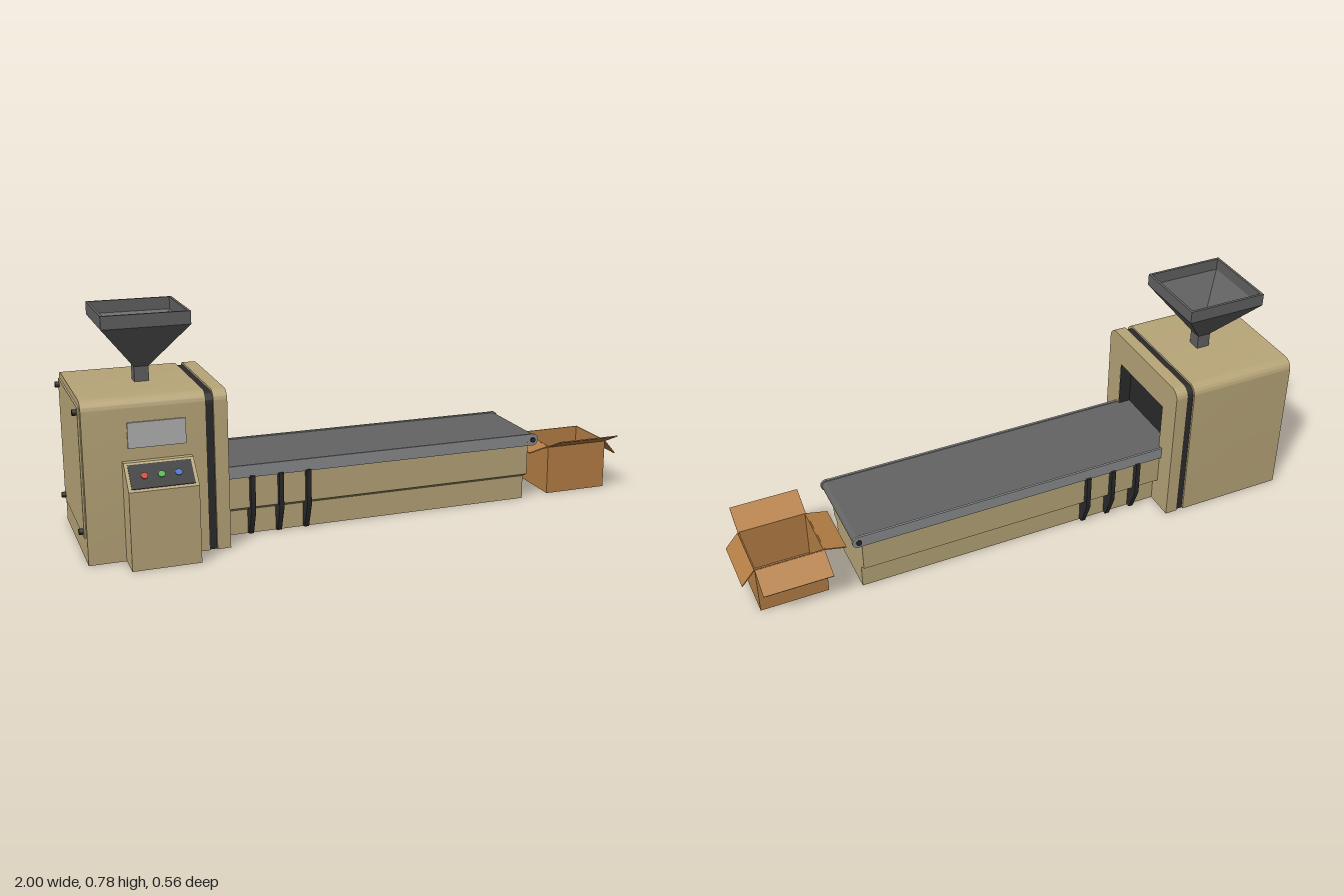
import * as THREE from 'three';
import { toCreasedNormals } from 'three/addons/utils/BufferGeometryUtils.js';

const mat = (color, extra = {}) => new THREE.MeshStandardMaterial({ color, ...extra });
const tan = mat(0xb8a679), dark = mat(0x2b2b2b), belt = mat(0x646464), steel = mat(0x8a8c8f);
const hopperGrey = mat(0x626262, { flatShading: true, side: THREE.DoubleSide });
const card = mat(0xb67f45, { side: THREE.DoubleSide });
const ZC = -0.05; // centre line of hopper, conveyor and carton

function add(parent, name, geometry, material, x = 0, y = 0, z = 0) {
  const mesh = new THREE.Mesh(geometry, material);
  mesh.name = name;
  mesh.position.set(x, y, z);
  parent.add(mesh);
  return mesh;
}

// Box from its minimum and maximum corners
function block(parent, name, material, [x0, y0, z0], [x1, y1, z1]) {
  return add(parent, name, new THREE.BoxGeometry(x1 - x0, y1 - y0, z1 - z0), material,
    (x0 + x1) / 2, (y0 + y1) / 2, (z0 + z1) / 2);
}

// Extrudes a shape drawn in (-z, y) along x
function alongX(shape, x0, x1) {
  const g = new THREE.ExtrudeGeometry(shape, { depth: x1 - x0, bevelEnabled: false, curveSegments: 8 });
  return toCreasedNormals(g.rotateY(Math.PI / 2).translate(x0, 0, 0), 0.5);
}
const profile = (points) => new THREE.Shape(points.map(([z, y]) => new THREE.Vector2(-z, y)));

// Housing outline with rounded top corners
function archShape(inset) {
  const a = -0.185 + inset, b = 0.28 - inset, h = 0.532 - inset, r = 0.036;
  const s = new THREE.Shape();
  s.moveTo(a, 0).lineTo(b, 0).lineTo(b, h - r);
  s.absarc(b - r, h - r, r, 0, Math.PI / 2, false);
  s.lineTo(a + r, h);
  s.absarc(a + r, h - r, r, Math.PI / 2, Math.PI, false);
  return s;
}

function makeHousing() {
  const g = new THREE.Group();
  g.name = 'housing';
  add(g, 'mainHousing', alongX(archShape(0), -0.98, -0.588), tan);
  add(g, 'housingSeam', alongX(archShape(0.007), -0.588, -0.563), dark);
  const front = archShape(0);
  front.holes.push(profile([[0.1, 0.2], [0.1, 0.42], [-0.196, 0.42], [-0.196, 0.2]]));
  add(g, 'outletHousing', alongX(front, -0.563, -0.518), tan);
  // Dark lining of the outlet
  for (const z of [0.1, -0.196]) block(g, 'outletLining', dark, [-0.563, 0.2, z - 0.002], [-0.519, 0.42, z + 0.002]);
  block(g, 'outletLining', dark, [-0.563, 0.418, -0.196], [-0.519, 0.421, 0.1]);

  // Service panel on the end, with corner bolts
  block(g, 'servicePanel', tan, [-0.986, 0.085, -0.257], [-0.98, 0.51, 0.162]);
  for (const y of [0.103, 0.492]) for (const z of [-0.24, 0.145]) {
    add(g, 'panelBolt', new THREE.CylinderGeometry(0.01, 0.01, 0.018, 16).rotateZ(Math.PI / 2), dark, -0.991, y, z);
  }
  block(g, 'displayScreen', mat(0xb4b4b4), [-0.84, 0.372, 0.184], [-0.655, 0.455, 0.191]);
  return g;
}

function makeConsole() {
  const g = new THREE.Group();
  g.name = 'controlConsole';
  const side = profile([[0.185, 0], [0.281, 0], [0.281, 0.258], [0.206, 0.331], [0.185, 0.331]]);
  add(g, 'consoleBody', alongX(side, -0.86, -0.638), tan);
  // Sloping button panel
  const panel = new THREE.Group();
  panel.name = 'buttonPanel';
  panel.position.set(-0.749, 0.2945, 0.2435);
  panel.rotation.x = -Math.atan2(0.075, 0.073);
  add(panel, 'panelPlate', new THREE.BoxGeometry(0.2, 0.086, 0.006), dark);
  [0xd03a2a, 0x4cb84a, 0x3a70d0].forEach((color, i) => {
    add(panel, 'button', new THREE.CylinderGeometry(0.011, 0.011, 0.006, 20).rotateX(Math.PI / 2),
      mat(color), (i - 1) * 0.054, 0, 0.004);
  });
  g.add(panel);
  return g;
}

function makeHopper() {
  const g = new THREE.Group();
  g.name = 'hopper';
  const points = [
    [0.024, 0.525], [0.024, 0.582], [0.143, 0.733], [0.143, 0.776],
    [0.134, 0.776], [0.134, 0.735], [0.018, 0.588], [0.018, 0.55], [0, 0.55],
  ].map(([r, y]) => new THREE.Vector2(r * Math.SQRT2, y));
  add(g, 'hopperFunnel', new THREE.LatheGeometry(points, 4, Math.PI / 4), hopperGrey, -0.748, 0, ZC + 0.003);
  return g;
}

function makeConveyor() {
  const g = new THREE.Group();
  g.name = 'conveyor';
  const half = [[0.125, 0], [0.125, 0.085], [0.155, 0.101], [0.155, 0.212]];
  const outline = [...half, ...half.map(([z, y]) => [-z, y]).reverse()].map(([z, y]) => [z + ZC, y]);
  add(g, 'conveyorBase', alongX(profile(outline), -0.52, 0.604), tan);
  block(g, 'belt', belt, [-0.563, 0.214, ZC - 0.158], [0.618, 0.248, ZC + 0.158]);
  add(g, 'endRoller', new THREE.CylinderGeometry(0.017, 0.017, 0.316, 24).rotateX(Math.PI / 2), belt, 0.618, 0.231, ZC);

  // Side rail with a rounded end
  const rail = new THREE.Shape();
  rail.moveTo(-0.53, 0.21).lineTo(0.615, 0.21);
  rail.absarc(0.615, 0.231, 0.021, -Math.PI / 2, Math.PI / 2, false);
  rail.lineTo(-0.53, 0.252);
  const railGeo = toCreasedNormals(new THREE.ExtrudeGeometry(rail, { depth: 0.008, bevelEnabled: false, curveSegments: 16 }), 0.5);

  for (const s of [1, -1]) {
    add(g, 'sideRail', railGeo, steel, 0, 0, ZC + s * 0.162 - 0.004);
    add(g, 'rollerCap', new THREE.CylinderGeometry(0.022, 0.022, 0.007, 24).rotateX(Math.PI / 2), steel, 0.617, 0.231, ZC + s * 0.163);
    add(g, 'rollerAxle', new THREE.CylinderGeometry(0.009, 0.009, 0.01, 16).rotateX(Math.PI / 2), dark, 0.617, 0.231, ZC + s * 0.168);
    // Bent support brackets
    const bracket = [[0.154, 0.215], [0.154, 0.101], [0.124, 0.084], [0.124, 0.003], [0.141, 0.003], [0.174, 0.088], [0.174, 0.215]];
    const shape = profile(bracket.map(([z, y]) => [ZC + s * z, y]));
    for (const x of [-0.422, -0.324, -0.227]) add(g, 'supportBracket', alongX(shape, x - 0.008, x + 0.008), dark);
  }
  return g;
}

function makeCarton() {
  const g = new THREE.Group();
  g.name = 'carton';
  const x0 = 0.714, x1 = 0.951, z0 = -0.147, z1 = 0.06, h = 0.18, t = 0.004;
  block(g, 'cartonFloor', card, [x0, 0, z0], [x1, t, z1]);
  block(g, 'cartonWall', card, [x0, 0, z0], [x0 + t, h, z1]);
  block(g, 'cartonWall', card, [x1 - t, 0, z0], [x1, h, z1]);
  block(g, 'cartonWall', card, [x0, 0, z0], [x1, h, z0 + t]);
  block(g, 'cartonWall', card, [x0, 0, z1 - t], [x1, h, z1]);
  // Flap hinged on a wall's top edge, turned by the given angle
  function flap(x, z, width, length, yaw, tilt) {
    const hinge = new THREE.Group();
    hinge.name = 'cartonFlap';
    hinge.position.set(x, h - 0.002, z);
    hinge.rotation.set(-tilt, yaw, 0, 'YXZ');
    add(hinge, 'flapBoard', new THREE.BoxGeometry(width, t, length), card, 0, 0, length / 2);
    g.add(hinge);
  }
  const cx = (x0 + x1) / 2, cz = (z0 + z1) / 2;
  flap(cx, z1, x1 - x0, 0.095, 0, 0.44);
  flap(cx, z0, x1 - x0, 0.096, Math.PI, -0.47);
  flap(x0, cz, z1 - z0 - 0.006, 0.076, -Math.PI / 2, -0.23);
  flap(x1, cz, z1 - z0 - 0.006, 0.071, Math.PI / 2, -0.86);
  return g;
}

export function createModel() {
  const model = new THREE.Group();
  model.name = 'packingMachine';
  model.add(makeHousing(), makeConsole(), makeHopper(), makeConveyor(), makeCarton());
  return model;
}
